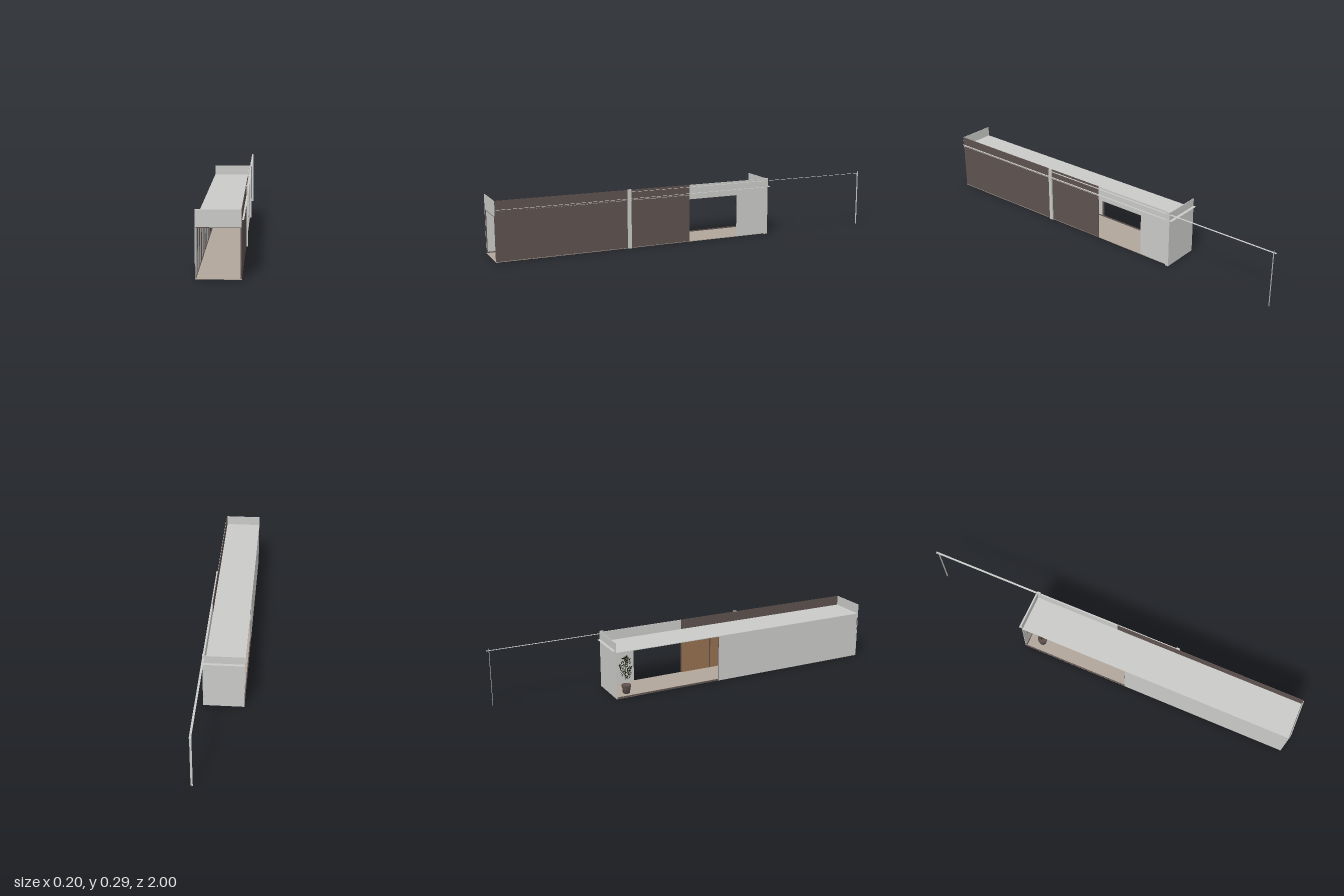
import * as THREE from 'three';

const mat = (name, color, side = THREE.FrontSide) => {
  const m = new THREE.MeshStandardMaterial({ color, side });
  m.name = name;
  return m;
};

export function createModel() {
  const model = new THREE.Group();
  model.name = 'galleryUnit';
  const grey = mat('plasterGrey', 0xcacac8);
  const sheet = mat('sheetGrey', 0xcacac8, THREE.DoubleSide);
  const brown = mat('darkBrown', 0x5e524e);
  const floorMat = mat('floorBeige', 0xb0a69b);
  const wood = mat('wood', 0x95704e);
  const paper = mat('pictureTan', 0xc6b498);
  const metal = mat('handleGrey', 0x8c8c8a);
  const leafMat = mat('leafGreen', 0x1c200e, THREE.DoubleSide);

  // Box given by its min and max corners
  const box = (name, m, x0, x1, y0, y1, z0, z1, parent = model) => {
    const mesh = new THREE.Mesh(new THREE.BoxGeometry(x1 - x0, y1 - y0, z1 - z0), m);
    mesh.position.set((x0 + x1) / 2, (y0 + y1) / 2, (z0 + z1) / 2);
    mesh.name = name;
    parent.add(mesh);
    return mesh;
  };
  // Flat horizontal strip
  const strip = (name, x0, x1, y, z0, z1) => {
    const mesh = new THREE.Mesh(new THREE.PlaneGeometry(x1 - x0, z1 - z0), sheet);
    mesh.rotation.x = -Math.PI / 2;
    mesh.position.set((x0 + x1) / 2, y, (z0 + z1) / 2);
    mesh.name = name;
    model.add(mesh);
  };

  const L = -0.1, R = 0.092, BACK = -0.425, H = 0.29, ROOF = 0.24, HEAD = 0.217;

  // Shell
  box('floor', floorMat, L, R, 0, 0.003, BACK, 1);
  box('roof', grey, L, R, ROOF - 0.003, ROOF, BACK, 0.998);
  box('leftWall', grey, L, L + 0.003, 0, ROOF, 0.14, 1);
  box('backWall', grey, L, R, 0, H, BACK, BACK + 0.003);
  box('frontParapet', grey, L, R - 0.002, HEAD, H, 0.997, 1);
  box('rightWallBrown', brown, R - 0.003, R, 0, H, 0.018, 0.997);
  box('rightWallHeader', grey, R - 0.003, R, HEAD, H, -0.25, 0.018);
  box('rightWallRear', grey, R - 0.003, R, 0, H, BACK, -0.25);

  // Front frame, skirtings and floor track
  box('frontFrameTop', brown, L, R - 0.003, HEAD - 0.003, HEAD, 0.994, 0.9995);
  box('frontFrameLeft', brown, L, L + 0.0035, 0, HEAD, 0.994, 0.9995);
  box('frontFrameRight', brown, R - 0.006, R - 0.003, 0, HEAD, 0.994, 0.9995);
  box('floorTrack', brown, L, L + 0.005, 0, 0.008, BACK + 0.003, 0.14);
  box('leftSkirting', brown, L + 0.003, L + 0.005, 0.003, 0.008, 0.14, 0.994);
  box('backSkirting', brown, L + 0.003, R - 0.003, 0.003, 0.009, BACK + 0.003, BACK + 0.006);

  // Mullions on the inside of the left wall
  for (let i = 0; i < 8; i++) {
    const z = 0.9 - i * 0.108;
    box('mullion', brown, L + 0.003, L + 0.005, 0.003, ROOF - 0.003, z - 0.006, z + 0.006);
  }
  box('leftHandle', metal, L + 0.003, L + 0.006, 0.07, 0.115, 0.84, 0.844);

  // Wooden doors on the inside of the right wall
  const joints = [0.018, 0.187, 0.283, 0.46, 0.556, 0.73, 0.826, 0.994];
  for (let i = 0; i < joints.length - 1; i++) {
    box('woodPanel', wood, R - 0.005, R - 0.003, 0.003, ROOF - 0.003, joints[i] + 0.003, joints[i + 1] - 0.003);
    if (i) box('doorPost', brown, R - 0.006, R - 0.003, 0.003, ROOF - 0.003, joints[i] - 0.003, joints[i] + 0.003);
  }
  box('rightHandle', metal, R - 0.009, R - 0.005, 0.08, 0.107, 0.3, 0.304);

  // Picture on the back wall
  const zp = BACK + 0.003;
  box('pictureFrame', brown, -0.064, 0.053, 0.0965, 0.187, zp, zp + 0.002);
  box('picture', paper, -0.063, 0.052, 0.0975, 0.186, zp, zp + 0.003);
  box('pictureShape', sheet, 0.012, 0.04, 0.1, 0.107, zp, zp + 0.0035);
  box('pictureShapeTop', sheet, 0.017, 0.034, 0.107, 0.112, zp, zp + 0.0035);

  // Ceiling light slots
  for (const z of [-0.3, -0.1, 0.1, 0.4, 0.7]) {
    box('lightSlot', brown, -0.03, -0.026, ROOF - 0.005, ROOF - 0.003, z - 0.05, z + 0.05);
  }

  // Steel columns, end post and flat rails
  for (const z of [0.34, BACK + 0.008]) {
    box('column', grey, R - 0.001, 0.1, 0, 0.293, z - 0.009, z + 0.009);
  }
  const post = new THREE.Mesh(new THREE.PlaneGeometry(0.01, 0.29), sheet);
  post.position.set(0.095, 0.145, -0.985);
  post.name = 'endPost';
  model.add(post);
  strip('upperRail', 0.09, 0.1, 0.28, -1, 0.35);
  strip('lowerRail', R, 0.1, 0.247, BACK - 0.012, 1);
  strip('backRail', L, 0.1, 0.25, BACK - 0.015, BACK);

  // Potted plant
  const plant = new THREE.Group();
  plant.name = 'plant';
  plant.position.set(-0.045, 0.003, -0.35);
  model.add(plant);
  const potProfile = [[0, 0], [0.018, 0], [0.021, 0.034], [0.024, 0.034], [0.024, 0.042], [0.021, 0.042], [0.02, 0.037], [0, 0.037]];
  const pot = new THREE.Mesh(new THREE.LatheGeometry(potProfile.map(p => new THREE.Vector2(...p)), 20), brown);
  pot.name = 'pot';
  plant.add(pot);
  const stemPath = new THREE.CatmullRomCurve3([
    new THREE.Vector3(0.004, 0.037, 0), new THREE.Vector3(0.008, 0.08, 0.002),
    new THREE.Vector3(-0.002, 0.13, -0.002), new THREE.Vector3(0, 0.19, 0)]);
  const stem = new THREE.Mesh(new THREE.TubeGeometry(stemPath, 16, 0.0007, 5), leafMat);
  stem.name = 'stem';
  plant.add(stem);

  // Leaves scattered round the stem
  let seed = 11;
  const rand = () => (seed = (seed * 16807) % 2147483647) / 2147483647;
  const leafShape = new THREE.Shape();
  leafShape.moveTo(0, 0);
  leafShape.quadraticCurveTo(0.0045, 0.006, 0, 0.016);
  leafShape.quadraticCurveTo(-0.0045, 0.006, 0, 0);
  const leafGeo = new THREE.ShapeGeometry(leafShape, 4);
  for (let i = 0; i < 120; i++) {
    const t = rand(), a = rand() * Math.PI * 2;
    const spread = 0.005 + 0.024 * Math.sin(Math.PI * (0.12 + 0.8 * t)) * Math.sqrt(rand());
    const leaf = new THREE.Mesh(leafGeo, leafMat);
    leaf.name = 'leaf';
    leaf.position.set(Math.cos(a) * spread, 0.075 + t * 0.112, Math.sin(a) * spread);
    leaf.rotation.set(rand() * 2 - 1, rand() * 6.28, rand() * 4.4 - 2.2);
    plant.add(leaf);
  }
  return model;
}
